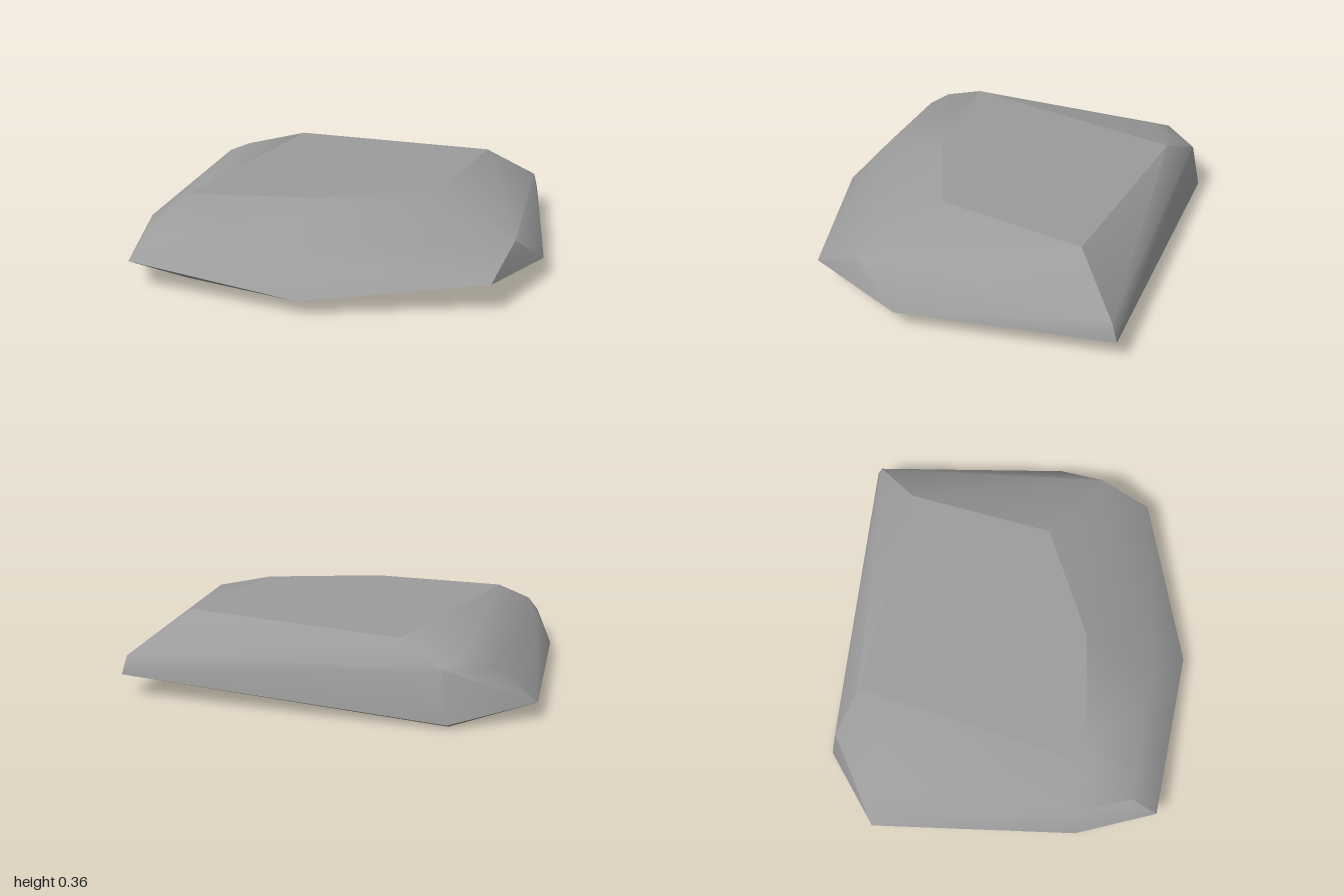
import * as THREE from 'three';
import { ConvexGeometry } from 'three/addons/geometries/ConvexGeometry.js';

// Rings of corners [x, y, z], from the ground up
const base = [
  [-0.71, 0, -0.6], [0.42, 0, -0.61], [0.42, 0, 0.1],
  [0.37, 0, 0.5], [-0.42, 0, 0.68], [-0.69, 0, 0.1],
];
const rim = [
  [-1, 0.07, -0.34], [-0.72, 0.02, -0.64], [0.71, 0.1, -0.9], [1, 0.09, -0.01],
  [0.91, 0.13, 0.46], [0.2, 0.07, 0.83], [-0.58, 0.13, 0.89], [-0.76, 0.06, 0.56],
];
const shoulder = [
  [-0.83, 0.235, -0.41], [-0.71, 0.29, -0.4], [-0.68, 0.24, -0.61],
  [0.7, 0.18, -0.87], [0.93, 0.24, 0.21], [0.03, 0.235, 0.71],
  [-0.57, 0.22, 0.765], [-0.7, 0.2, 0.52],
];
const crown = [
  [-0.47, 0.335, -0.56], [0.52, 0.355, -0.63], [0.53, 0.36, 0.05],
  [0.08, 0.35, 0.36], [-0.5, 0.332, 0.52],
];

// Area-weighted smooth normals; the flat cap and edges over the crease angle stay sharp
function shade(geometry, creaseAngle) {
  const pos = geometry.attributes.position;
  const corner = (i) => new THREE.Vector3().fromBufferAttribute(pos, i);
  const faces = [];
  for (let i = 0; i < pos.count; i += 3) {
    const points = [corner(i), corner(i + 1), corner(i + 2)];
    const area = points[1].clone().sub(points[0]).cross(points[2].clone().sub(points[0]));
    const normal = area.clone().normalize();
    faces.push({ points, area, normal, cap: normal.y > 0.99 });
  }
  const normals = [];
  for (const face of faces) {
    for (const point of face.points) {
      const sum = new THREE.Vector3();
      for (const other of faces) {
        const touches = other.points.some((p) => p.distanceTo(point) < 1e-5);
        const soft = other.cap === face.cap && other.normal.angleTo(face.normal) < creaseAngle;
        if (touches && soft) sum.add(other.area);
      }
      normals.push(...sum.normalize().toArray());
    }
  }
  geometry.setAttribute('normal', new THREE.Float32BufferAttribute(normals, 3));
  return geometry;
}

export function createModel() {
  const group = new THREE.Group();
  group.name = 'rock';

  // One convex stone
  const points = [...base, ...rim, ...shoulder, ...crown].map((p) => new THREE.Vector3(...p));
  const stone = new THREE.Mesh(
    shade(new ConvexGeometry(points), 0.7),
    new THREE.MeshStandardMaterial({ color: 0x9c9c9c }),
  );
  stone.name = 'stone';
  group.add(stone);
  return group;
}
